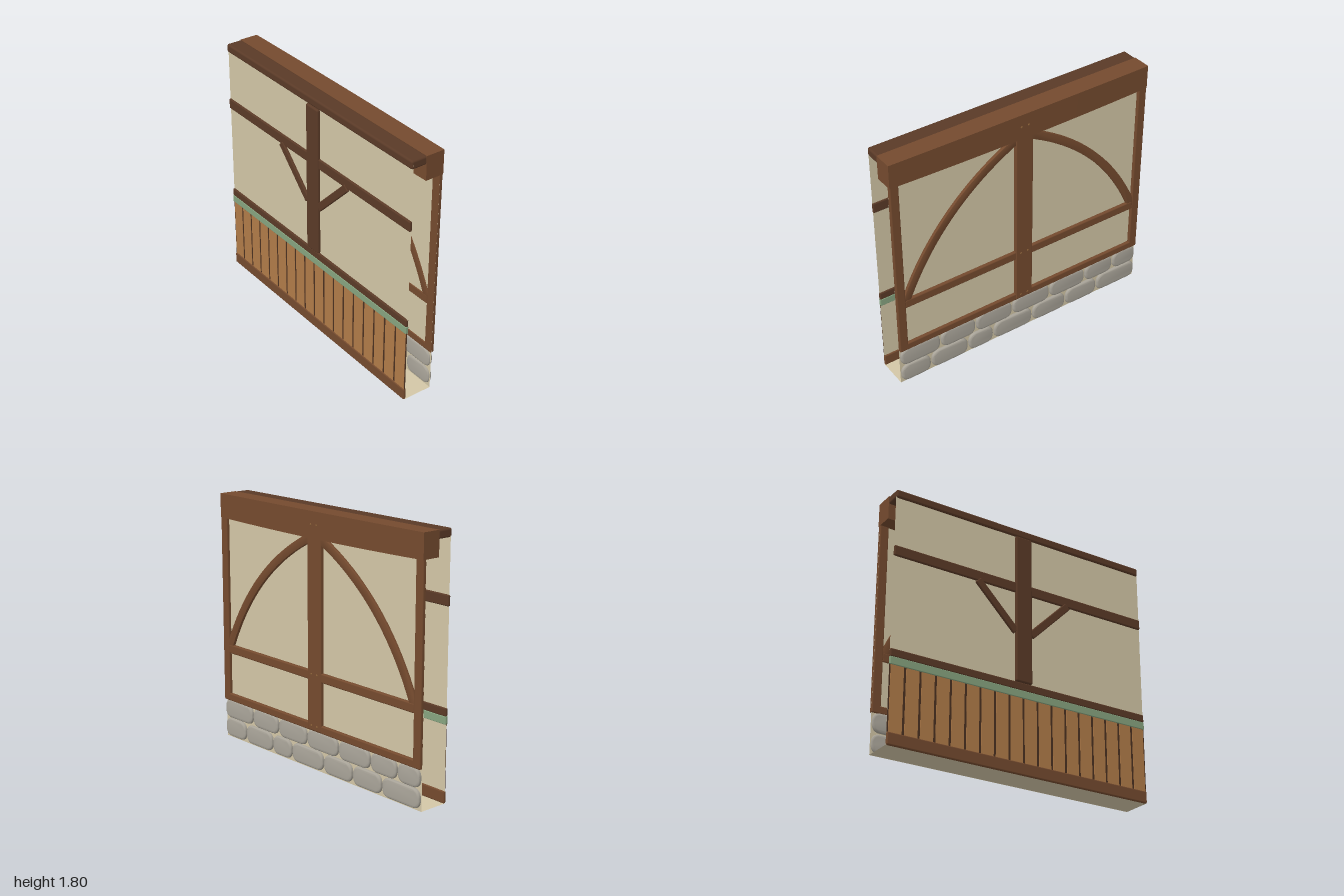
import * as THREE from 'three';
import { RoundedBoxGeometry } from 'three/addons/geometries/RoundedBoxGeometry.js';
import { toCreasedNormals } from 'three/addons/utils/BufferGeometryUtils.js';

const paint = (color, side = THREE.FrontSide) => {
  const m = new THREE.MeshStandardMaterial({ side });
  m.color.set(color);
  return m;
};

export function createModel() {
  const model = new THREE.Group();
  const darkWood = paint(0x5a3a27), wood = paint(0x744a2e), plankWood = paint(0xb07b48);
  const grooveWood = paint(0x4a3020), green = paint(0x86a37f), stone = paint(0xa8a398);
  const peg = paint(0x8a6038), plaster = paint(0xd2c6a6, THREE.DoubleSide);

  const add = (name, geometry, material, x = 0, y = 0, z = 0) => {
    const mesh = new THREE.Mesh(geometry, material);
    mesh.name = name;
    mesh.position.set(x, y, z);
    model.add(mesh);
    return mesh;
  };
  // Rounded timber given by its limits on each axis
  const timber = (name, mat, [x0, x1], [y0, y1], [z0, z1], r = 0.009) =>
    add(name, new RoundedBoxGeometry(x1 - x0, y1 - y0, z1 - z0, 2, r), mat,
      (x0 + x1) / 2, (y0 + y1) / 2, (z0 + z1) / 2);
  const full = [-1, 1];

  // Plaster skins: front, back and underside
  add('frontPlaster', new THREE.PlaneGeometry(2, 1.77), plaster, 0, 0.885, 0.109);
  add('backPlaster', new THREE.PlaneGeometry(2, 1.7), plaster, 0, 0.85, -0.102);
  add('underside', new THREE.PlaneGeometry(2, 0.211), plaster, 0, 0.001, 0.0035).rotation.x = Math.PI / 2;

  // Front rails
  timber('topRail', darkWood, full, [1.74, 1.8], [0.003, 0.122], 0.014);
  timber('frontMiddleRail', darkWood, full, [1.305, 1.38], [0.1, 0.122]);
  timber('frontLowerRail', darkWood, full, [0.588, 0.645], [0.1, 0.122]);
  timber('greenTrim', green, full, [0.535, 0.59], [0.1, 0.122], 0.005);
  timber('baseboard', wood, full, [0, 0.085], [0.1, 0.122]);

  // Front post and its pair of short braces
  timber('frontPost', darkWood, [-0.065, 0.065], [0.645, 1.74], [0.098, 0.13], 0.012);
  for (const s of [-1, 1]) {
    const brace = add('frontBrace', new RoundedBoxGeometry(0.43, 0.055, 0.022, 2, 0.008),
      darkWood, s * 0.212, 1.16, 0.115);
    brace.rotation.z = s * Math.PI / 4;
  }

  // Wainscot: planks over a dark backing that shows in the gaps
  add('plankBacking', new THREE.BoxGeometry(2, 0.46, 0.003), grooveWood, 0, 0.312, 0.1115);
  const pitch = 2 / 18;
  for (let i = 0; i < 18; i++)
    add('plank', new THREE.BoxGeometry(pitch - 0.017, 0.46, 0.003), plankWood,
      -1 + pitch * (i + 0.5), 0.312, 0.1145);

  // Back beam, bowed slightly outward and downward at mid-length
  const beam = new THREE.BoxGeometry(2, 0.17, 0.134, 24, 1, 1);
  const p = beam.attributes.position;
  for (let i = 0; i < p.count; i++) {
    const bow = 1 - p.getX(i) ** 2;
    if (p.getZ(i) < 0) p.setZ(i, p.getZ(i) - 0.006 * bow);
    if (p.getY(i) < 0) p.setY(i, p.getY(i) - 0.012 * bow);
  }
  add('backBeam', toCreasedNormals(beam, 0.5), wood, 0, 1.715, -0.058);

  // Back frame
  const depth = [-0.125, -0.096];
  timber('backPost', wood, [-0.068, 0.068], [0.29, 1.65], [-0.129, -0.096]);
  timber('backSill', wood, full, [0.285, 0.34], depth);
  for (const s of [-1, 1]) {
    timber('endPost', wood, s > 0 ? [0.935, 1] : [-1, -0.935], [0.285, 1.65], depth);
    timber('backMiddleRail', wood, s > 0 ? [0.06, 0.94] : [-0.94, -0.06], [0.645, 0.71], depth);
  }

  // Curved back braces: a band of constant width around a curve
  for (const s of [-1, 1]) {
    const curve = new THREE.QuadraticBezierCurve(
      new THREE.Vector2(s * 0.94, 0.67), new THREE.Vector2(s * 0.67, 1.32), new THREE.Vector2(s * 0.05, 1.62));
    const outer = [], inner = [];
    for (let i = 0; i <= 20; i++) {
      const c = curve.getPoint(i / 20), t = curve.getTangent(i / 20);
      const n = new THREE.Vector2(-t.y, t.x).multiplyScalar(0.025);
      outer.push(c.clone().add(n));
      inner.unshift(c.clone().sub(n));
    }
    const band = new THREE.ExtrudeGeometry(new THREE.Shape([...outer, ...inner]),
      { depth: 0.016, bevelSize: 0.005, bevelThickness: 0.005, bevelSegments: 2 });
    add('curvedBrace', toCreasedNormals(band, 0.6), wood, 0, 0, -0.118);
  }

  // Pegs at the post joints
  for (const [y, z] of [[1.71, -0.131], [0.69, -0.129], [0.325, -0.129]])
    for (const x of [-0.028, 0.028])
      add('peg', new THREE.SphereGeometry(0.008, 10, 6).scale(1, 1, 0.5), peg, x, y, z);

  // Stone footing: two courses of cushioned stones
  const stoneGeometry = (w, h) => {
    const b = 0.018, x = w / 2 - b, y = h / 2 - b, r = 0.042;
    const s = new THREE.Shape();
    s.moveTo(-x + r, -y);
    s.lineTo(x - r, -y).quadraticCurveTo(x, -y, x, -y + r);
    s.lineTo(x, y - r).quadraticCurveTo(x, y, x - r, y);
    s.lineTo(-x + r, y).quadraticCurveTo(-x, y, -x, y - r);
    s.lineTo(-x, -y + r).quadraticCurveTo(-x, -y, -x + r, -y);
    const g = new THREE.ExtrudeGeometry(s, {
      depth: 0.006, bevelSize: b, bevelThickness: 0.014, bevelSegments: 4, curveSegments: 6 });
    return toCreasedNormals(g.translate(0, 0, -0.003), 0.7);
  };
  const courses = [
    [0.08, [-1, -0.65, -0.37, -0.08, 0.25, 0.46, 0.76, 1]],
    [0.222, [-1, -0.79, -0.54, -0.23, 0.09, 0.395, 0.68, 1]],
  ];
  for (const [y, joints] of courses)
    for (let i = 0; i < joints.length - 1; i++) {
      const a = joints[i], b = joints[i + 1];
      add('footingStone', stoneGeometry(b - a - 0.012, 0.136), stone, (a + b) / 2, y, -0.107);
    }

  return model;
}
